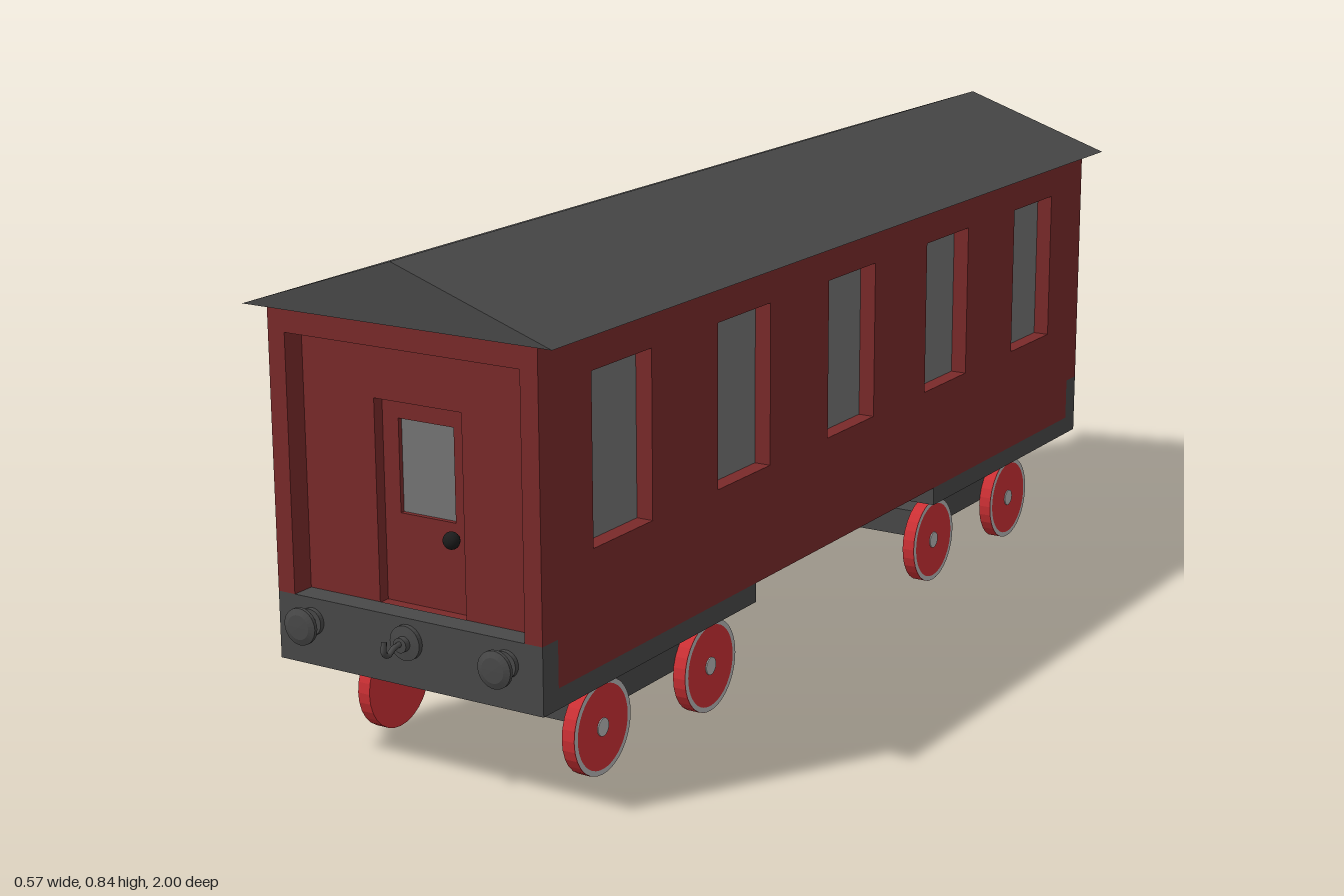
import * as THREE from 'three';

const mat = (color, side = THREE.FrontSide) => new THREE.MeshStandardMaterial({ color, side });
const RED = mat(0x7a2a2a), DARK = mat(0x484848), GLASS = mat(0x757575), WHEEL = mat(0xcc3034),
  METAL = mat(0xb8b8b8), BLACK = mat(0x1c1c1c);

function add(parent, name, geometry, material, x = 0, y = 0, z = 0) {
  const mesh = new THREE.Mesh(geometry, material);
  mesh.name = name;
  mesh.position.set(x, y, z);
  parent.add(mesh);
  return mesh;
}

// Box given by its extents
function slab(parent, name, material, x0, x1, y0, y1, z0, z1) {
  return add(parent, name, new THREE.BoxGeometry(x1 - x0, y1 - y0, z1 - z0), material,
    (x0 + x1) / 2, (y0 + y1) / 2, (z0 + z1) / 2);
}

const rect = (x0, x1, y0, y1, Type = THREE.Shape) => new Type([
  new THREE.Vector2(x0, y0), new THREE.Vector2(x1, y0), new THREE.Vector2(x1, y1), new THREE.Vector2(x0, y1)]);

// Flat panel with rectangular openings
function panel(outer, holes, depth) {
  const shape = rect(...outer);
  holes.forEach(h => shape.holes.push(rect(...h, THREE.Path)));
  return new THREE.ExtrudeGeometry(shape, { depth, bevelEnabled: false });
}

// Turned part along +z from [radius, z] pairs
function turned(points, segments = 28) {
  const g = new THREE.LatheGeometry(points.map(p => new THREE.Vector2(...p)), segments);
  return g.rotateX(Math.PI / 2).toNonIndexed();
}

function turnedSharp(points) {
  const g = turned(points);
  g.computeVertexNormals();
  return g;
}

const L = 0.935;   // half length of the body
const EAVE = 0.745;

function buildEnd(isFront) {
  const end = new THREE.Group();
  // Stepped recesses: frame, panel, door, window
  const frame = new THREE.Shape([[-0.25, 0.285], [-0.218, 0.285], [-0.218, 0.703], [0.218, 0.703], [0.218, 0.285],
    [0.25, 0.285], [0.25, EAVE], [-0.25, EAVE]].map(p => new THREE.Vector2(...p)));
  add(end, 'endFrame', new THREE.ExtrudeGeometry(frame, { depth: 0.04, bevelEnabled: false }), RED, 0, 0, L - 0.04);
  add(end, 'endPanel', panel([-0.22, 0.22, 0.22, EAVE], [[-0.082, 0.082, 0.284, 0.61]], 0.02), RED, 0, 0, L - 0.06);
  add(end, 'door', panel([-0.085, 0.085, 0.25, 0.62], [[-0.052, 0.052, 0.428, 0.578]], 0.01), RED, 0, 0, L - 0.07);
  add(end, 'doorWindow', new THREE.PlaneGeometry(0.11, 0.16), GLASS, 0, 0.503, L - 0.068);
  const knob = add(end, 'doorKnob', new THREE.SphereGeometry(0.014, 20, 14), BLACK, 0.054, 0.405, L - 0.045);
  knob.scale.z = 0.9;
  add(end, 'knobStem', turnedSharp([[0.005, 0], [0.005, 0.015]]), BLACK, 0.054, 0.405, L - 0.06);

  // Beam with buffers
  slab(end, 'endBeam', DARK, -0.25, 0.25, 0.175, 0.285, L - 0.04, L);
  for (const s of [-1, 1]) {
    add(end, 'buffer', turnedSharp([[0.022, 0], [0.022, 0.008], [0.013, 0.008], [0.013, 0.024], [0.03, 0.026],
      [0.03, 0.032], [0.02, 0.036], [0, 0.037]]), DARK, s * 0.184, 0.247, L);
  }
  // Coupling: hook at the front, ring at the rear
  add(end, 'couplingPlate', turnedSharp([[0.028, 0], [0.028, 0.008], [0.012, 0.01], [0.012, 0.02], [0, 0.021]]),
    DARK, 0, 0.247, L);
  if (isFront) {
    const path = new THREE.CatmullRomCurve3([[0.25, 0.015], [0.247, 0.035], [0.24, 0.048], [0.246, 0.058], [0.265, 0.057]]
      .map(([y, z]) => new THREE.Vector3(0, y, L + z)));
    add(end, 'couplingHook', new THREE.TubeGeometry(path, 24, 0.0045, 8), DARK);
  } else {
    const ring = add(end, 'couplingRing', new THREE.TorusGeometry(0.017, 0.0045, 8, 28), DARK, 0, 0.25, L + 0.043);
    ring.rotation.x = Math.PI / 2;
  }
  return end;
}

function buildWheel() {
  const wheel = new THREE.Group();
  wheel.name = 'wheel';
  add(wheel, 'wheelDisc', turnedSharp([[0, 0], [0.079, 0], [0.079, 0.023], [0, 0.023]]), WHEEL);
  add(wheel, 'wheelRim', new THREE.RingGeometry(0.07, 0.0785, 40), METAL, 0, 0, 0.0237);
  add(wheel, 'wheelHub', turnedSharp([[0.015, 0.02], [0.015, 0.025], [0, 0.025]]), METAL);
  return wheel;
}

function buildBogie() {
  const bogie = new THREE.Group();
  slab(bogie, 'basePlate', DARK, -0.25, 0.25, 0.175, 0.208, 0.32, L - 0.04);
  slab(bogie, 'bogieNeck', DARK, -0.09, 0.09, 0.14, 0.176, 0.475, 0.645);
  slab(bogie, 'bogieFrame', DARK, -0.187, 0.187, 0.091, 0.141, 0.365, 0.755);
  for (const z of [0.4, 0.72]) {
    for (const s of [-1, 1]) {
      const wheel = buildWheel();
      wheel.position.set(s * 0.187, 0.08, z);
      wheel.rotation.y = s * Math.PI / 2;
      bogie.add(wheel);
    }
  }
  return bogie;
}

export function createModel() {
  const car = new THREE.Group();
  car.name = 'railwayCarriage';

  // Body core and side walls with recessed windows
  slab(car, 'bodyCore', RED, -0.219, 0.219, 0.209, EAVE, -L + 0.071, L - 0.071);
  const windows = [-2, -1, 0, 1, 2].map(i => [i * 0.358 - 0.082, i * 0.358 + 0.082, 0.4, 0.675]);
  for (const s of [-1, 1]) {
    const side = new THREE.Group();
    side.name = 'sideWall';
    add(side, 'windowedWall', panel([-L + 0.04, L - 0.04, 0.208, EAVE], windows, 0.031), RED, 0, 0, 0.219);
    windows.forEach(w => add(side, 'sideWindow', new THREE.PlaneGeometry(0.164, 0.275), GLASS,
      (w[0] + w[1]) / 2, 0.5375, 0.221));
    side.rotation.y = s * Math.PI / 2;
    car.add(side);
  }

  // Gabled roof
  const gable = new THREE.Shape([[-0.286, 0.743], [0.286, 0.743], [0, 0.84]].map(p => new THREE.Vector2(...p)));
  add(car, 'roof', new THREE.ExtrudeGeometry(gable, { depth: 1.9, bevelEnabled: false }), DARK, 0, 0, -0.95);

  // Ends and bogies, turned half round for the rear
  for (const isFront of [true, false]) {
    const half = new THREE.Group();
    half.name = isFront ? 'frontEnd' : 'rearEnd';
    half.add(buildEnd(isFront), buildBogie());
    half.rotation.y = isFront ? 0 : Math.PI;
    car.add(half);
  }
  car.children.forEach(part => { part.position.z += 0.004; });
  return car;
}
